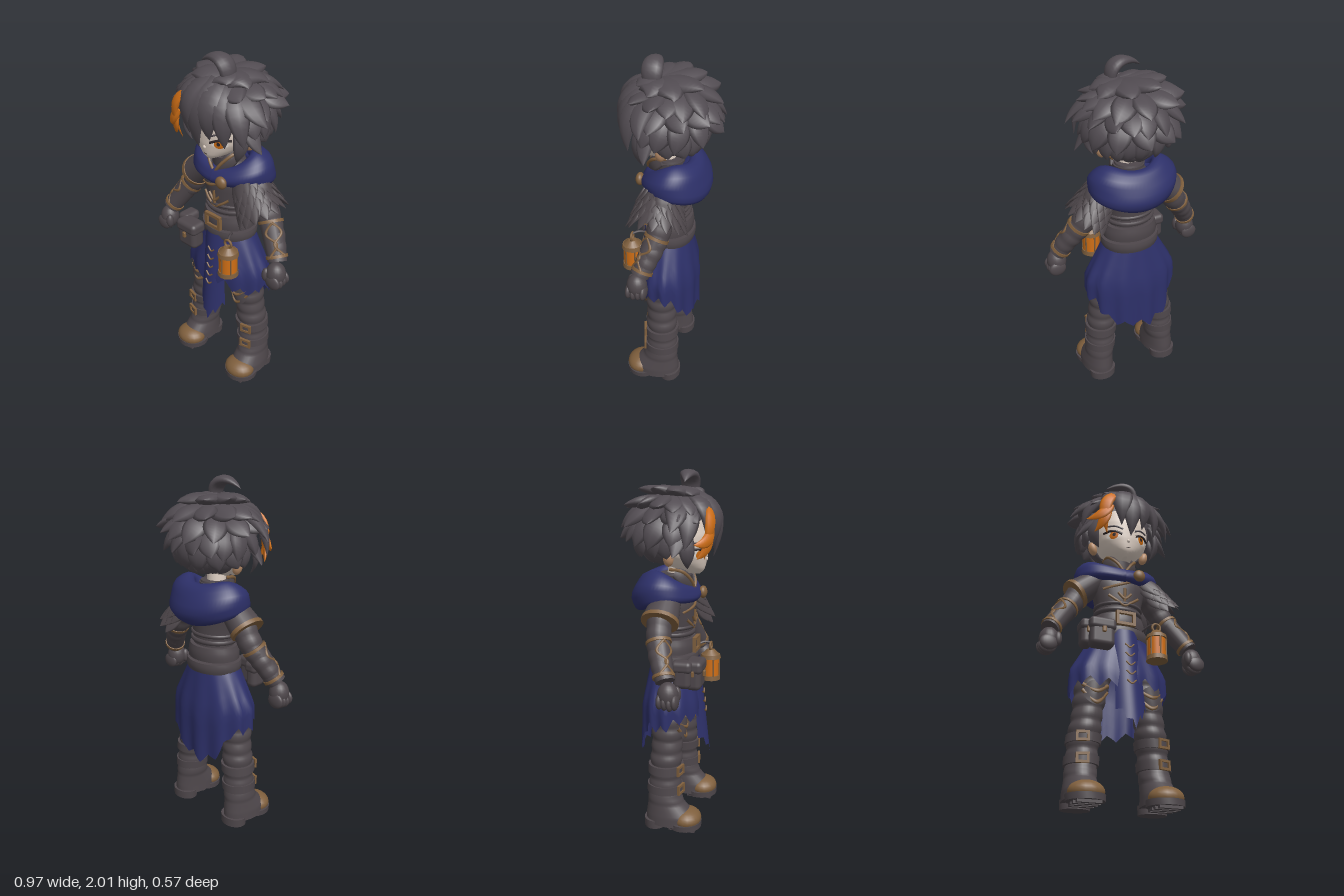
import * as THREE from 'three';
import { RoundedBoxGeometry } from 'three/addons/geometries/RoundedBoxGeometry.js';

const V = (x, y, z) => new THREE.Vector3(x, y, z);
const mat = (name, color, side = THREE.FrontSide) => new THREE.MeshStandardMaterial({ name, color, side });
const sst = THREE.MathUtils.smoothstep;

// Skin a list of rings; capped ends stay sharp
function loft(rings, capped = true) {
  const n = rings[0].length;
  const mid = r => { const c = V(0, 0, 0); r.forEach(p => c.addScaledVector(p, 1 / n)); return r.map(() => c); };
  const last = rings[rings.length - 1];
  const all = capped ? [mid(rings[0]), rings[0], ...rings, last, mid(last)] : rings;
  const pos = [], idx = [];
  all.forEach(r => r.forEach(p => pos.push(p.x, p.y, p.z)));
  for (let i = 0; i < all.length - 1; i++) for (let j = 0; j < n; j++) {
    const a = i * n + j, b = i * n + (j + 1) % n;
    idx.push(a, b, a + n, b, b + n, a + n);
  }
  const g = new THREE.BufferGeometry();
  g.setAttribute('position', new THREE.Float32BufferAttribute(pos, 3));
  g.setIndex(idx);
  g.computeVertexNormals();
  return g;
}

// Local axes of a curve, N leaning towards ref
function frame(curve, t, ref) {
  const T = curve.getTangent(t), S = ref.clone().cross(T).normalize();
  return { p: curve.getPoint(t), S, N: T.clone().cross(S) };
}

// Sweep an ellipse along a curve; size(t) gives [width, thickness]
function sweep(curve, size, ref, seg = 12, n = 12) {
  const rings = [];
  for (let i = 0; i <= seg; i++) {
    const { p, S, N } = frame(curve, i / seg, ref), [a, b] = size(i / seg);
    rings.push(Array.from({ length: n }, (_, j) => {
      const q = j / n * Math.PI * 2;
      return p.clone().addScaledVector(S, a * Math.cos(q)).addScaledVector(N, b * Math.sin(q));
    }));
  }
  return loft(rings);
}
const line = pts => new THREE.CatmullRomCurve3(pts);
const tube = (pts, r) => new THREE.TubeGeometry(line(pts), pts.length * 6, r, 6);

// Pointed leaf used for hair locks and feathers
function leaf(p0, p1, p2, w, ref, flat = 0.4) {
  const f = t => w * (1 - t) * (0.55 + 2 * t) * 1.25;
  return sweep(new THREE.QuadraticBezierCurve3(p0, p1, p2), t => [f(t), f(t) * flat], ref, 10, 8);
}

// Table rows: y, centre x, centre z, radius x, radius z
function at(table, y) {
  let i = 0;
  while (i < table.length - 2 && y > table[i + 1][0]) i++;
  const a = table[i], b = table[i + 1], k = THREE.MathUtils.clamp((y - a[0]) / (b[0] - a[0]), 0, 1);
  return a.map((v, m) => v + (b[m] - v) * k);
}
function column(table, y0, y1, seg = 24, grow = () => 0, n = 28) {
  const rings = [];
  for (let i = 0; i <= seg; i++) {
    const y = y0 + (y1 - y0) * i / seg, [, cx, cz, rx, rz] = at(table, y), e = grow(y);
    rings.push(Array.from({ length: n }, (_, j) => {
      const q = j / n * Math.PI * 2;
      return V(cx + (rx + e) * Math.sin(q), y, cz + (rz + e) * Math.cos(q));
    }));
  }
  return loft(rings);
}
function frontZ(table, x, y) {
  const [, cx, cz, rx, rz] = at(table, y);
  return cz + rz * Math.sqrt(Math.max(0, 1 - ((x - cx) / rx) ** 2));
}
const seam = (table, pts, r, out = 0.004) => tube(pts.map(([x, y]) => V(x, y, frontZ(table, x, y) + out)), r);
// Rounded patch laid on the front of a column
function patch(table, x, y, rx, ry, out) {
  const g = new THREE.RingGeometry(0, 1, 20, 3), p = g.attributes.position;
  for (let i = 0; i < p.count; i++) {
    const px = x + p.getX(i) * rx, py = y + p.getY(i) * ry;
    p.setXYZ(i, px, py, frontZ(table, px, py) + out);
  }
  g.computeVertexNormals();
  return g;
}
function buckleGeo(w, h, d, t) {
  const rect = (o, a, b) => o.moveTo(-a, -b).lineTo(a, -b).lineTo(a, b).lineTo(-a, b).closePath();
  const s = rect(new THREE.Shape(), w / 2, h / 2);
  s.holes.push(rect(new THREE.Path(), w / 2 - t, h / 2 - t));
  return new THREE.ExtrudeGeometry(s, { depth: d, bevelEnabled: false });
}

export function createModel() {
  const root = new THREE.Group();
  const hair = mat('hair', 0x524c52), dark = mat('dark leather', 0x4e474b), trim = mat('bronze trim', 0x7f5f3d);
  const navy = mat('navy cloth', 0x2d3069, THREE.DoubleSide), orange = mat('orange', 0xd06f16);
  const skin = mat('skin', 0xdfd0c4), white = mat('eye white', 0xe6dfd8), ink = mat('ink', 0x2e2628), ear = mat('ear', 0xb98d69);
  const add = (name, geo, m, x = 0, y = 0, z = 0) => {
    const o = new THREE.Mesh(geo, m);
    o.name = name; o.position.set(x, y, z); root.add(o);
    return o;
  };
  const ball = (name, m, x, y, z, a, b, c) => { const o = add(name, new THREE.SphereGeometry(1, 20, 14), m, x, y, z); o.scale.set(a, b, c); return o; };

  // Torso, belts and collar
  const torso = [[0.86, 0, 0, 0.13, 0.1], [1.0, 0, 0, 0.138, 0.11], [1.08, 0, 0, 0.125, 0.105], [1.18, 0, 0.005, 0.14, 0.115],
    [1.28, 0, 0.005, 0.165, 0.118], [1.35, 0, 0, 0.15, 0.105], [1.4, 0, 0, 0.09, 0.085], [1.47, 0, 0.01, 0.075, 0.075]];
  add('torso', column(torso, 0.9, 1.45), dark);
  add('neck', new THREE.CylinderGeometry(0.05, 0.055, 0.12, 16), skin, 0, 1.46, 0.02);
  [[0.935, 0.995, 0.032], [1.005, 1.085, 0.022], [1.1, 1.125, 0.01], [1.14, 1.16, 0.006]].forEach(([a, b, e]) =>
    add('waistBelt', column(torso, a, b, 6, y => e + 0.005 * Math.sin((y - a) / (b - a) * Math.PI)), dark));
  add('beltBuckle', buckleGeo(0.115, 0.085, 0.02, 0.017), trim, 0, 1.047, 0.125);
  const collar = [[1.36, 0, 0.01, 0.08, 0.085], [1.47, 0, 0.015, 0.095, 0.095]];
  for (const s of [-1, 1]) {
    add('collarTrim', tube([V(0, 1.35, 0.12), V(s * 0.04, 1.41, 0.115), V(s * 0.085, 1.465, 0.07), V(s * 0.09, 1.475, 0)], 0.009), trim);
    add('collarFlap', leaf(V(s * 0.09, 1.46, 0.03), V(s * 0.075, 1.43, 0.1), V(s * 0.005, 1.34, 0.115), 0.04, V(s, 0, 1), 0.3), dark);
  }
  add('collar', column(collar, 1.36, 1.44, 4), dark);
  [[[0.08, 1.32], [-0.02, 1.27], [-0.12, 1.24]], [[-0.09, 1.2], [-0.045, 1.165], [0, 1.14], [0.045, 1.165], [0.09, 1.2]],
    [[0, 1.16], [0, 1.2], [0, 1.245]], [[-0.04, 1.215], [0, 1.18], [0.04, 1.215]]].forEach(p =>
    add('chestTrim', seam(torso, p, 0.008), trim));

  // Hood lying on the shoulders
  const hoodRing = f => loft(Array.from({ length: 65 }, (_, i) => {
    const q = i / 64 * Math.PI * 2, k = (1 - Math.cos(q)) / 2, sd = Math.sin(q) ** 2;
    const { x, y, z, a, b, lean } = f(q, k, sd);
    return Array.from({ length: 18 }, (_, j) => {
      const h = j / 18 * Math.PI * 2, v = -b * Math.sin(h);
      const r = a * Math.cos(h) * (1 + 0.08 * Math.sin(4 * h + 2 * q)) - v * lean;
      return V(x * Math.sin(q) + r * Math.sin(q), y + v, z + r * Math.cos(q));
    });
  }), false);
  add('hood', hoodRing((q, k, sd) => ({ x: 0.187, y: 1.335 + 0.005 * k + 0.045 * sd, z: 0.133 * Math.cos(q) - 0.022,
    a: 0.038 + 0.03 * k + 0.012 * sd, b: 0.045 + 0.067 * k + 0.006 * sd, lean: 0.22 + 0.1 * sd })), navy);
  add('hoodFold', hoodRing((q, k) => ({ x: 0.13, y: 1.37 + 0.025 * k, z: 0.09 * Math.cos(q) - 0.035,
    a: 0.02 + 0.045 * k, b: 0.02 + 0.025 * k, lean: 0 })), navy);
  ball('brooch', trim, 0.08, 1.33, 0.152, 0.036, 0.036, 0.024);

  // Ragged skirt
  const skirtN = 96, skirtRows = [];
  for (let i = 0; i <= 8; i++) skirtRows.push(Array.from({ length: skirtN }, (_, j) => {
    const q = j / skirtN * Math.PI * 2, tooth = Math.abs((j % 6) / 3 - 1);
    const hem = 0.6 + 0.03 * Math.cos(q) - 0.17 * sst(-Math.cos(q), 0.4, 1) + 0.05 * tooth + 0.015 * Math.sin(5 * q);
    const y = hem + (0.97 - hem) * i / 8, d = 0.97 - y, fold = 1 + 0.04 * Math.sin(12 * q) * d / 0.4;
    return V(Math.sin(q) * Math.min(0.28, 0.155 + 0.55 * d) * fold, y, 0.002 + Math.cos(q) * Math.min(0.17, 0.122 + 0.18 * d) * fold);
  }));
  add('skirt', loft(skirtRows, false), navy);

  // Curved front panel with a torn hem
  const panelZ = (x, d) => 0.152 + 0.115 * d - 6 * (x - 0.02 * d) ** 2;
  const panel = new THREE.PlaneGeometry(1, 1, 16, 12), pp = panel.attributes.position;
  for (let i = 0; i < pp.count; i++) {
    const u = pp.getX(i), tooth = Math.round((u + 0.5) * 16) % 4 / 4;
    const hem = 0.385 + 0.22 * Math.abs(u) + 0.05 * tooth, d = (0.97 - hem) * (0.5 - pp.getY(i));
    const x = u * (0.135 + 0.09 * d) + 0.035 * d;
    pp.setXYZ(i, x, 0.97 - d, panelZ(x, d));
  }
  panel.computeVertexNormals();
  add('frontPanel', panel, navy);
  for (let i = 0; i < 5; i++) {
    const y = 0.86 - i * 0.055, z = panelZ(0.012, 0.97 - y) + 0.003;
    add('panelStitch', tube([V(-0.015, y + 0.02, z - 0.004), V(0.012, y, z), V(0.037, y + 0.02, z - 0.004)], 0.005), trim);
  }

  // Legs and boots
  for (const s of [-1, 1]) {
    const leg = [[0.03, 0.215, 0.048, 0.096, 0.15], [0.08, 0.215, 0.045, 0.093, 0.145], [0.115, 0.213, 0.03, 0.088, 0.125],
      [0.15, 0.211, 0.015, 0.083, 0.105], [0.19, 0.207, 0.007, 0.077, 0.088], [0.3, 0.2, 0.006, 0.079, 0.085], [0.42, 0.188, 0.01, 0.081, 0.085],
      [0.5, 0.178, 0.012, 0.077, 0.081], [0.58, 0.168, 0.015, 0.083, 0.086], [0.68, 0.15, 0.012, 0.09, 0.092],
      [0.8, 0.12, 0.005, 0.088, 0.09], [0.94, 0.08, 0, 0.07, 0.085]].map(r => [r[0], s * r[1], ...r.slice(2)]);
    add('leg', column(leg, 0.03, 0.94, 90, y => y > 0.16 ? 0.008 * Math.abs(Math.sin(y * Math.PI / 0.075)) : 0), dark);
    const cx = s * 0.215;
    add('sole', column([[0, cx, 0.125, 0.1, 0.097], [0.05, cx, 0.125, 0.104, 0.098]], 0.015, 0.048, 2), dark);
    add('heel', column([[0, cx, -0.045, 0.08, 0.065], [0.05, cx, -0.045, 0.083, 0.066]], 0, 0.05, 2), dark);
    for (let i = 0; i < 4; i++) add('soleLug', new THREE.BoxGeometry(0.15 - Math.abs(i - 1.5) * 0.015, 0.02, 0.025), dark, cx, 0.01, 0.06 + i * 0.042);
    ball('toeCap', trim, cx, 0.062, 0.137, 0.095, 0.058, 0.085);
    for (const y of [0.24, 0.355]) {
      add('bootStrap', column(leg, y - 0.024, y + 0.024, 4, () => 0.016), dark);
      const x = s * 0.225, b = add('bootBuckle', buckleGeo(0.07, 0.055, 0.014, 0.013), trim, x, y, frontZ(leg, x, y) + 0.009);
      b.rotation.y = s * 0.25;
    }
    // Knee guard
    const c = s * 0.16;
    add('kneeGuard', patch(leg, c, 0.595, 0.066, 0.07, 0.02), dark);
    [[0.645, 0.6], [0.61, 0.54]].forEach(([a, b]) =>
      add('kneeTrim', seam(leg, [[c - 0.07, a], [c, b], [c + 0.07, a]], 0.011, 0.018), trim));

    // Arm with bracer and fist
    const ref = V(s * 0.8, 0.6, 0.8), arm = line([V(s * 0.13, 1.35, 0), V(s * 0.22, 1.25, -0.01), V(s * 0.295, 1.13, -0.002), V(s * 0.36, 1.04, 0.025), V(s * 0.42, 0.94, 0.07)]);
    add('sleeve', sweep(arm, t => { const r = 0.076 - 0.028 * t + 0.005 * Math.abs(Math.sin(t * 24)); return [r, r]; }, ref, 40, 16), dark);
    const brace = new THREE.LineCurve3(V(s * 0.305, 1.125, 0), V(s * 0.41, 0.955, 0.06));
    const br = t => 0.064 - 0.01 * t;
    add('bracer', sweep(brace, t => [br(t), br(t)], ref, 6, 18), dark);
    for (const t of [0, 0.92]) add('bracerTrim', sweep(new THREE.LineCurve3(brace.getPoint(t), brace.getPoint(t + 0.08)), () => [br(t) + 0.006, br(t) + 0.006], ref, 2, 18), trim);
    for (const k of [-1, 1]) add('bracerLacing', tube([0.05, 0.35, 0.65, 0.95].map((t, i) => {
      const { p, S, N } = frame(brace, t, ref), q = Math.PI / 2 + k * (i % 2 ? 0.75 : -0.1);
      return p.addScaledVector(S, br(t) * Math.cos(q)).addScaledVector(N, br(t) * Math.sin(q));
    }), 0.008), trim);
    ball('hand', dark, s * 0.425, 0.87, 0.085, 0.056, 0.07, 0.056);
    for (let i = 0; i < 4; i++) ball('finger', dark, s * 0.435, 0.838 - 0.004 * (i % 3), 0.045 + i * 0.027, 0.05, 0.045, 0.02);
    ball('thumb', dark, s * 0.385, 0.865, 0.122, 0.022, 0.042, 0.024);
  }

  // Leather cap on the right shoulder
  const capLine = new THREE.LineCurve3(V(-0.12, 1.34, 0), V(-0.265, 1.215, -0.005)), capRef = V(-1, 1, 0);
  add('shoulderCap', sweep(capLine, t => [0.08 + 0.02 * t, 0.07 + 0.017 * t], capRef, 6, 20), dark);
  add('shoulderCapTrim', sweep(new THREE.LineCurve3(capLine.getPoint(0.9), capLine.getPoint(1.02)), () => [0.104, 0.091], capRef, 2, 20), trim);

  // Feather mantle on the left shoulder, under the hood
  const down = V(0.55, -0.83, 0), out = V(0.83, 0.55, 0);
  for (let r = 0; r < 5; r++) for (let i = 0; i < 9; i++) {
    const q = (i - 4 + (r % 2) * 0.5) * 0.46;
    const rad = out.clone().multiplyScalar(Math.cos(q)).add(V(0, 0, Math.sin(q) * 1.5));
    const p = V(0.15, 1.315, 0.012).addScaledVector(down, -0.035 + r * 0.035).addScaledVector(rad, 0.05 + 0.006 * r);
    add('feather', leaf(p, p.clone().addScaledVector(down, 0.06).addScaledVector(rad, 0.018),
      p.clone().addScaledVector(down, 0.115).addScaledVector(rad, 0.042), 0.036, rad, 0.3), dark);
  }

  // Belt pouches
  [[-0.155, 0.91, 0.165, 0.14, 0.16, 0.09], [-0.225, 0.92, 0.11, 0.07, 0.15, 0.1]].forEach(([x, y, z, w, h, d]) => {
    add('pouch', new RoundedBoxGeometry(w, h, d, 3, 0.03), dark, x, y, z);
    add('pouchFlap', new RoundedBoxGeometry(w + 0.012, h * 0.45, d + 0.014, 3, 0.025), dark, x, y + h * 0.32, z);
    add('pouchClasp', new RoundedBoxGeometry(0.022, 0.035, 0.016, 2, 0.005), trim, x, y + 0.01, z + d / 2 + 0.008);
  });

  // Lantern
  const lx = 0.163, lz = 0.185, cyl = (n, m, r0, r1, h, y) => add(n, new THREE.CylinderGeometry(r0, r1, h, 16), m, lx, y, lz);
  cyl('lanternBase', trim, 0.057, 0.06, 0.026, 0.803);
  cyl('lanternGlow', orange, 0.051, 0.051, 0.11, 0.87);
  cyl('lanternLid', trim, 0.056, 0.061, 0.022, 0.932);
  cyl('lanternRoof', trim, 0.022, 0.052, 0.03, 0.957);
  for (let i = 0; i < 6; i++) add('lanternBar', new THREE.CylinderGeometry(0.005, 0.005, 0.12, 6), trim,
    lx + 0.052 * Math.sin(i * Math.PI / 3), 0.87, lz + 0.052 * Math.cos(i * Math.PI / 3));
  add('lanternRing', new THREE.TorusGeometry(0.024, 0.007, 8, 20), trim, lx, 0.992, lz);
  add('lanternHook', tube([V(lx, 1.012, lz), V(lx - 0.02, 1.02, 0.15), V(lx - 0.05, 1.0, 0.1)], 0.007), dark);

  // Head and face
  const head = [[1.447, 0, 0.12, 0.012, 0.03], [1.462, 0, 0.105, 0.045, 0.065], [1.48, 0, 0.085, 0.078, 0.095], [1.51, 0, 0.06, 0.115, 0.126],
    [1.55, 0, 0.045, 0.147, 0.147], [1.6, 0, 0.035, 0.165, 0.16], [1.66, 0, 0.03, 0.17, 0.166], [1.74, 0, 0.02, 0.165, 0.16], [1.84, 0, 0.01, 0.1, 0.1]];
  add('head', column(head, 1.447, 1.84, 40, () => 0, 36), skin);
  ball('nose', skin, 0, 1.53, 0.185, 0.01, 0.012, 0.012);
  add('mouth', seam(head, [[-0.012, 1.488], [0, 1.489], [0.012, 1.488]], 0.002, 0.001), ink);
  for (const s of [-1, 1]) {
    const x = s * 0.085;
    add('eyeWhite', patch(head, x, 1.562, 0.036, 0.024, 0.003), white);
    add('iris', patch(head, x, 1.562, 0.022, 0.024, 0.005), orange);
    add('pupil', patch(head, x, 1.565, 0.008, 0.011, 0.007), ink);
    add('eyelash', seam(head, [[s * 0.04, 1.567], [s * 0.075, 1.584], [s * 0.105, 1.59], [s * 0.135, 1.585]], 0.007), ink);
    add('eyebrow', seam(head, [[s * 0.035, 1.6], [s * 0.08, 1.62], [s * 0.125, 1.625]], 0.005), hair);
    ball('ear', ear, s * 0.164, 1.54, 0.015, 0.025, 0.042, 0.028).rotation.z = -s * 0.3;
  }

  // Hair: cap, then overlapping rings of locks curling outwards
  ball('hairCap', hair, 0, 1.71, -0.02, 0.208, 0.185, 0.2);
  const hp = (az, el, k) => V(Math.sin(az) * Math.cos(el) * 0.212 * k, 1.71 + Math.sin(el) * 0.19 * k, Math.cos(az) * Math.cos(el) * 0.2 * k - 0.01);
  const D = Math.PI / 180, whorl = V(0.035, 1.875, 0.09);
  // rows: count, first and last azimuth, start and end elevation, tip reach, width
  [[8, 35, 325, 82, 44, 1.34, 0.076], [11, 40, 320, 55, 20, 1.44, 0.066], [11, 55, 305, 34, 2, 1.46, 0.063],
    [10, 68, 292, 14, -20, 1.41, 0.062], [9, 88, 272, -6, -44, 1.3, 0.058], [8, 105, 255, -26, -67, 1.2, 0.05]].forEach(([n, a0, a1, e0, e1, k, w], r) => {
    for (let i = 0; i < n; i++) {
      const az = (a0 + (a1 - a0) * i / (n - 1)) * D, j = Math.sin(i * 5.3 + r * 2.1), tw = 0.12 * j;
      const p0 = r ? hp(az, e0 * D, 0.93) : whorl;
      add('hairLock', leaf(p0, hp(az + tw, (e0 * 0.35 + e1 * 0.65) * D, 1.17), hp(az + tw * 1.8, (e1 + 6 * j) * D, k + 0.05 * j), w, hp(az, (e0 + e1) / 2 * D, 1).sub(V(0, 1.71, 0))), hair);
    }
  });
  // Fringe: root, bend, tip, width
  [[0.02, 1.88, 0.12, -0.01, 1.8, 0.31, 0.0, 1.54, 0.225, 0.075], [0.05, 1.88, 0.11, 0.09, 1.8, 0.3, 0.07, 1.6, 0.22, 0.066],
    [-0.02, 1.88, 0.12, -0.08, 1.82, 0.31, -0.06, 1.6, 0.23, 0.066], [0.08, 1.87, 0.1, 0.18, 1.79, 0.25, 0.15, 1.57, 0.195, 0.066],
    [0.1, 1.86, 0.08, 0.24, 1.78, 0.2, 0.25, 1.59, 0.16, 0.064], [0.12, 1.85, 0.05, 0.24, 1.79, 0.12, 0.33, 1.7, 0.08, 0.062],
    [-0.06, 1.87, 0.1, -0.15, 1.84, 0.25, -0.14, 1.66, 0.215, 0.055], [-0.1, 1.86, 0.07, -0.24, 1.78, 0.17, -0.27, 1.6, 0.13, 0.064],
    [-0.12, 1.85, 0.04, -0.24, 1.8, 0.1, -0.33, 1.69, 0.07, 0.062], [0.17, 1.7, 0.1, 0.23, 1.58, 0.14, 0.16, 1.47, 0.12, 0.045],
    [-0.17, 1.7, 0.1, -0.23, 1.58, 0.14, -0.16, 1.49, 0.12, 0.045], [0.18, 1.72, 0.06, 0.22, 1.62, 0.09, 0.29, 1.54, 0.07, 0.05],
    [-0.18, 1.72, 0.06, -0.22, 1.64, 0.09, -0.29, 1.56, 0.07, 0.05]].forEach(v =>
    add('fringeLock', leaf(V(v[0], v[1], v[2]), V(v[3], v[4], v[5]), V(v[6], v[7], v[8]), v[9], V(v[3] * 1.3, 0.25, v[5])), hair));
  [[-0.09, 1.81, 0.22, -0.21, 1.74, 0.265, -0.14, 1.54, 0.205, 0.038], [-0.13, 1.72, 0.235, -0.18, 1.62, 0.255, -0.26, 1.63, 0.175, 0.036],
    [-0.15, 1.7, 0.23, -0.16, 1.6, 0.25, -0.21, 1.55, 0.18, 0.034]].forEach(v =>
    add('orangeLock', leaf(V(v[0], v[1], v[2]), V(v[3], v[4], v[5]), V(v[6], v[7], v[8]), v[9], V(-0.5, 0.2, 1)), orange));
  add('curledLock', sweep(new THREE.CubicBezierCurve3(V(0.06, 1.85, 0.08), V(0.1, 1.98, 0.08), V(-0.01, 2.02, 0.08), V(-0.11, 1.94, 0.09)),
    t => { const f = Math.pow(Math.max(0, Math.sin(Math.PI * (0.2 + 0.8 * t))), 0.8); return [0.056 * f, 0.03 * f]; }, V(1, 1.5, 0), 16, 12), hair);
  return root;
}
